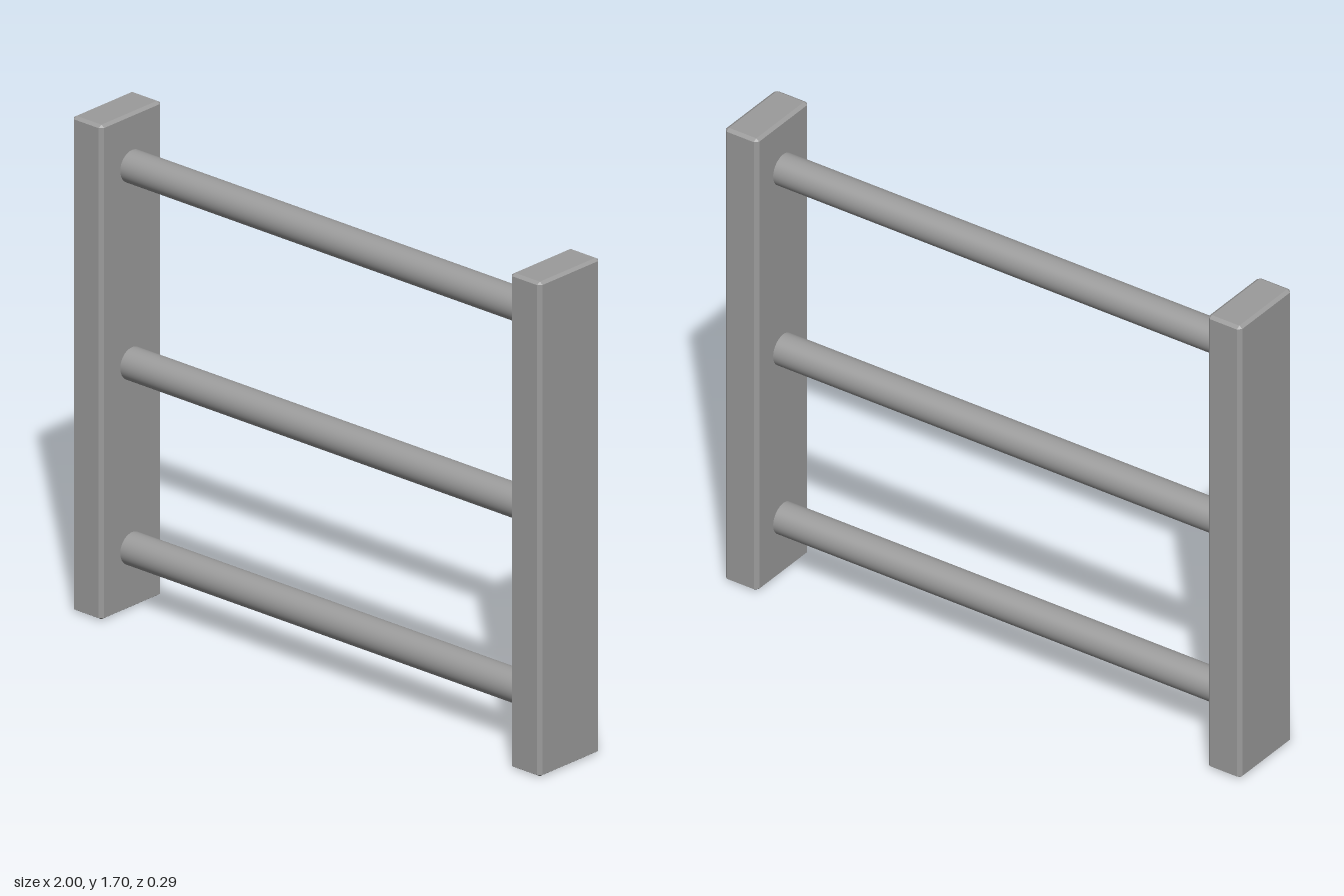
import * as THREE from 'three';
import { ConvexGeometry } from 'three/addons/geometries/ConvexGeometry.js';

const material = new THREE.MeshStandardMaterial({ color: 0x9b9b9b });

// Box with every edge cut by a small flat chamfer, sized per axis
function chamferedBox(size, chamfer) {
  const points = [];
  for (const sx of [-1, 1]) for (const sy of [-1, 1]) for (const sz of [-1, 1]) {
    for (let axis = 0; axis < 3; axis++) {
      const [x, y, z] = size.map((s, i) => s / 2 - (i === axis ? 0 : chamfer[i]));
      points.push(new THREE.Vector3(sx * x, sy * y, sz * z));
    }
  }
  return new ConvexGeometry(points);
}

export function createModel() {
  const group = new THREE.Group();
  const height = 1.695, postWidth = 0.13, postDepth = 0.286;

  // Two upright posts
  const postGeometry = chamferedBox([postWidth, height, postDepth], [0.012, 0.008, 0.013]);
  for (const [name, side] of [['leftPost', 1], ['rightPost', -1]]) {
    const post = new THREE.Mesh(postGeometry, material);
    post.name = name;
    post.position.set(side * (1 - postWidth / 2), height / 2, 0);
    group.add(post);
  }

  // Three round rungs, let slightly into the posts
  const rungGeometry = new THREE.CylinderGeometry(0.055, 0.055, 1.78, 48).rotateZ(Math.PI / 2);
  for (const [name, y] of [['lowerRung', 0.206], ['middleRung', 0.84], ['upperRung', 1.516]]) {
    const rung = new THREE.Mesh(rungGeometry, material);
    rung.name = name;
    rung.position.y = y;
    group.add(rung);
  }
  return group;
}
